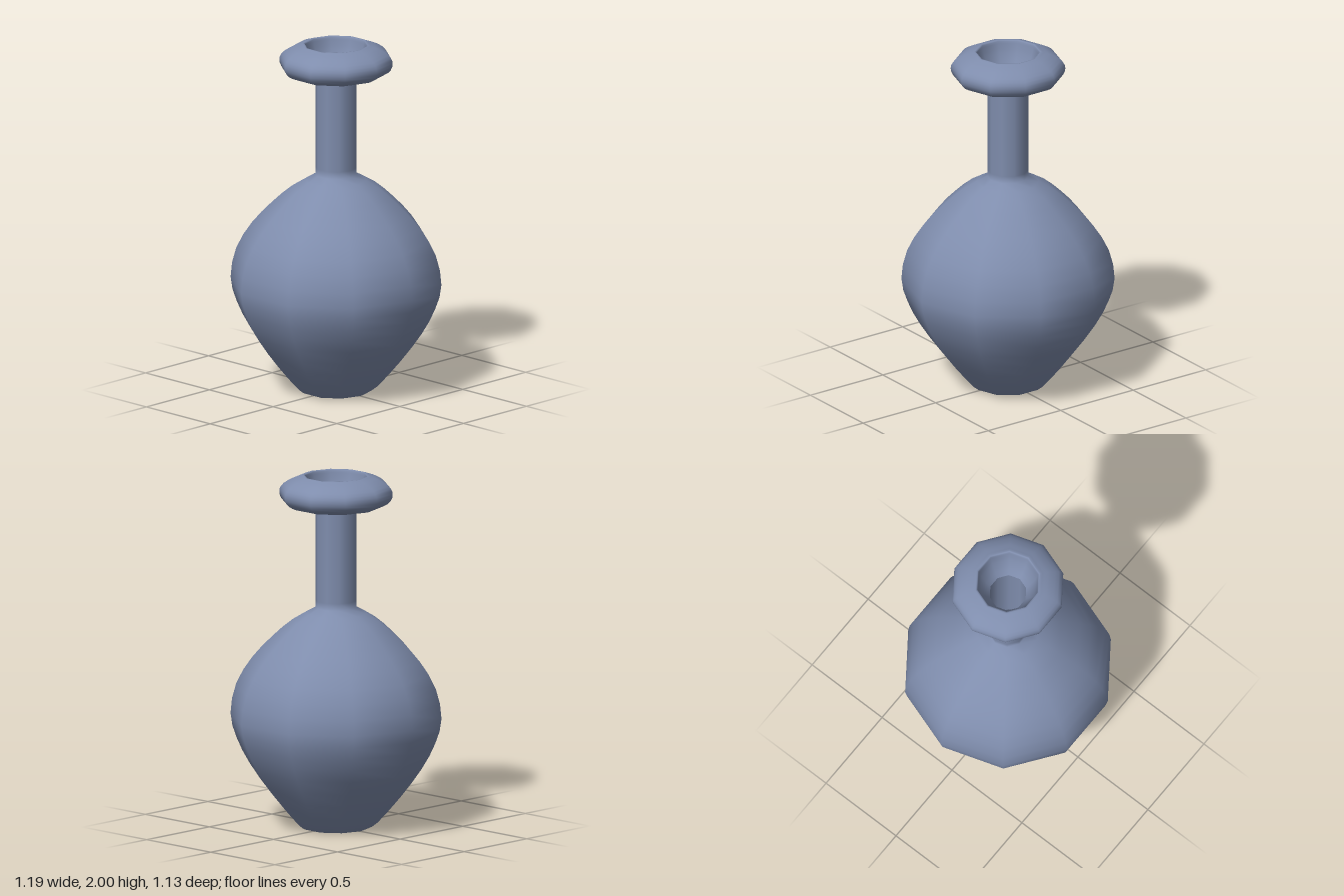
import * as THREE from 'three';

const SIDES = 10;
const material = new THREE.MeshStandardMaterial({ color: 0x7f8dad });

// Smooth curve through [radius, height] pairs
function smooth(pairs, steps) {
  const curve = new THREE.SplineCurve(pairs.map(([r, y]) => new THREE.Vector2(r, y)));
  return curve.getPoints(steps).map((p) => [p.x, p.y]);
}

// Turned part with a corner on the +x axis.
// Rising profiles face outward, falling profiles face inward.
function turned(name, profile) {
  const points = profile.map(([r, y]) => new THREE.Vector2(r, y));
  const mesh = new THREE.Mesh(new THREE.LatheGeometry(points, SIDES, Math.PI / 2), material);
  mesh.name = name;
  return mesh;
}

export function createModel() {
  const group = new THREE.Group();
  group.name = 'bottle';

  // Bulbous belly, from foot to shoulder
  const belly = smooth([
    [0.19, 0], [0.235, 0.03], [0.365, 0.18], [0.485, 0.345], [0.56, 0.49], [0.595, 0.63],
    [0.563, 0.8], [0.475, 0.95], [0.36, 1.075], [0.245, 1.175], [0.115, 1.25],
  ], 20);

  // Flat underside, belly and straight neck, shaded as one smooth skin
  group.add(turned('bodyAndNeck', [[0, 0], ...belly, [0.115, 1.29], [0.115, 1.82]]));

  // Rounded lip ring rolling over into the mouth
  group.add(turned('lip', smooth([
    [0.11, 1.81], [0.18, 1.813], [0.25, 1.825], [0.303, 1.855], [0.32, 1.9],
    [0.303, 1.942], [0.25, 1.977], [0.205, 1.994], [0.18, 2.0], [0.172, 1.975],
    [0.16, 1.93], [0.135, 1.87], [0.105, 1.82],
  ], 30)));

  // Inside of the neck and hollow belly, a thin wall within the outer skin
  const hollow = belly.slice(2).reverse().map(([r, y]) => [r - 0.012, y]);
  group.add(turned('inside', [[0.105, 1.82], [0.105, 1.27], ...hollow, [0, 0.03]]));

  return group;
}
